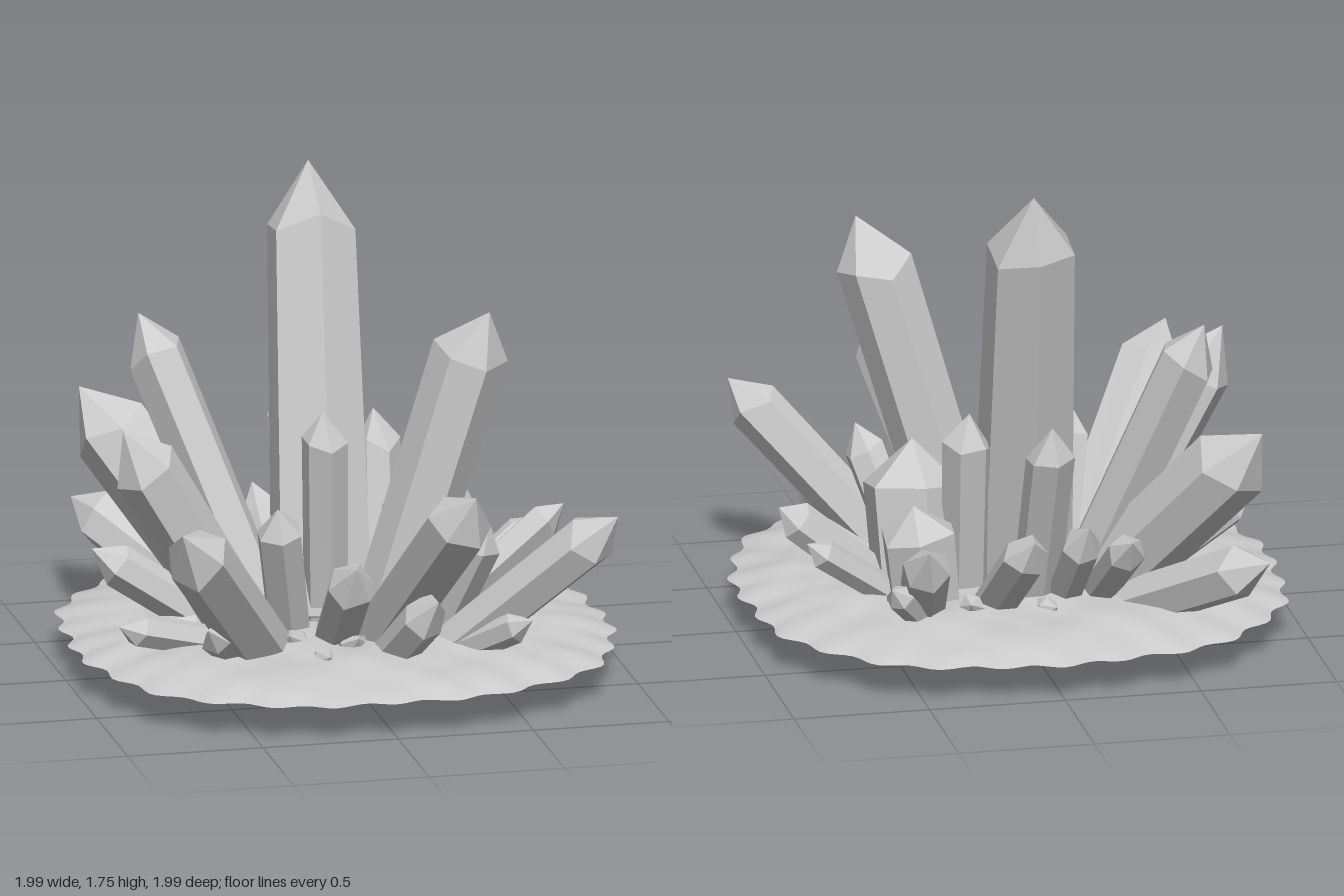
import * as THREE from 'three';

const stone = new THREE.MeshStandardMaterial({ color: 0xcccccc, side: THREE.DoubleSide });
stone.name = 'pale grey stone';

// Small seeded generator for natural variation
let seed = 7;
const rand = () => {
  seed = (seed * 16807) % 2147483647;
  return seed / 2147483647;
};

// Six-sided crystal: the shaft runs from base towards aim, and the tip may sit off that axis
function crystal(name, tip, base, r, { extend = 0.05, flare = 0.95, point = 1.45, aim = tip } = {}) {
  const t = new THREE.Vector3(...tip);
  const b = new THREE.Vector3(...base);
  const dir = new THREE.Vector3(...aim).sub(b).normalize();
  b.addScaledVector(dir, -Math.min(extend / dir.y, 0.14));
  const turn = new THREE.Quaternion().setFromUnitVectors(new THREE.Vector3(0, 1, 0), dir);
  const apex = t.sub(b).applyQuaternion(turn.clone().invert());
  const shoulder = apex.y - Math.min(point * r, apex.y * 0.4);
  const profile = [[0, -0.25 * r], [r * flare, 0], [r, shoulder], [0, apex.y]];
  let geo = new THREE.LatheGeometry(profile.map(p => new THREE.Vector2(...p)), 6);
  geo.rotateY(rand() * Math.PI / 3);
  const pos = geo.attributes.position;
  const drops = Array.from({ length: 6 }, () => (rand() - 0.5) * 0.6 * r);
  const wide = Array.from({ length: 6 }, () => 0.9 + rand() * 0.2);
  for (let i = 0; i < pos.count; i++) {
    const side = Math.floor(i / 4) % 6, row = i % 4;
    if (row === 2) pos.setY(i, shoulder + drops[side]);
    if (row === 1 || row === 2) {
      pos.setX(i, pos.getX(i) * wide[side]);
      pos.setZ(i, pos.getZ(i) * wide[side]);
    }
    if (row === 3) pos.setXYZ(i, apex.x, apex.y, apex.z);
  }
  geo = geo.toNonIndexed();
  geo.computeVertexNormals();
  const mesh = new THREE.Mesh(geo, stone);
  mesh.name = name;
  mesh.position.copy(b);
  mesh.quaternion.copy(turn);
  return mesh;
}

// Thin rock sheet with a scalloped rim and gentle ripples
function rockSheet() {
  const rings = 24, segs = 200, verts = [], index = [];
  for (let i = 0; i <= rings; i++) {
    const f = i / rings;
    for (let j = 0; j < segs; j++) {
      const a = (j / segs) * Math.PI * 2;
      const rim = 1.01 - 0.035 * Math.cos(4 * a) + 0.018 * Math.cos(28 * a) + 0.008 * Math.sin(11 * a);
      const x = rim * f * Math.cos(a), z = rim * f * Math.sin(a);
      const ripple = 0.009 * Math.sin(9 * x + 3 * z) * Math.cos(11 * z - 2 * x) + 0.004 * Math.sin(23 * x) * Math.sin(19 * z);
      const y = 0.13 + 0.062 * (1 - Math.pow(f, 6)) + ripple * (1 - Math.pow(f, 8));
      verts.push(x, y, z);
      if (i < rings) {
        const p = i * segs + j, q = i * segs + (j + 1) % segs;
        if (i > 0) index.push(p, q, p + segs);
        index.push(q, q + segs, p + segs);
      }
    }
  }
  // Reversed order makes the faces look upward
  const geo = new THREE.BufferGeometry();
  geo.setAttribute('position', new THREE.Float32BufferAttribute(verts, 3));
  geo.setIndex(index.reverse());
  geo.computeVertexNormals();
  const mesh = new THREE.Mesh(geo, stone);
  mesh.name = 'rockSheet';
  return mesh;
}

// Each entry: tip, base, radius
const LARGE = [
  [[-0.62, 1.22, -0.49], [-0.25, 0.2, -0.19], 0.115],
  [[-0.83, 0.98, 0.18], [-0.37, 0.2, 0.07], 0.13],
  [[-0.77, 0.78, 0.88], [-0.37, 0.2, 0.33], 0.125],
  [[0.3, 0.87, 0.95], [0.11, 0.2, 0.28], 0.12],
  [[0.87, 0.71, 0.75], [0.4, 0.2, 0.4], 0.105],
  [[-0.09, 1.0, 0.17], [-0.05, 0.2, 0.02], 0.085],
  [[-0.78, 0.88, -0.75], [-0.32, 0.2, -0.25], 0.14],
  [[0.2, 0.87, -0.28], [0.18, 0.2, -0.14], 0.09],
  [[-0.04, 0.9, -0.59], [-0.03, 0.2, -0.32], 0.09],
];
const SMALL = [
  [[-0.78, 0.43, -0.88], [-0.46, 0.2, -0.5], 0.1],
  [[-0.88, 0.46, -0.11], [-0.5, 0.2, -0.12], 0.08],
  [[-0.87, 0.28, 0.3], [-0.6, 0.2, 0.22], 0.06],
  [[-0.17, 0.52, -0.62], [-0.14, 0.2, -0.34], 0.075],
  [[0.06, 0.52, -0.75], [0.12, 0.2, -0.4], 0.085],
  [[-0.3, 0.5, -0.76], [-0.27, 0.2, -0.35], 0.07],
  [[0.44, 0.5, -0.72], [0.4, 0.2, -0.42], 0.085],
  [[0.56, 0.34, -0.63], [0.44, 0.2, -0.5], 0.05],
  [[-0.29, 0.69, 0.32], [-0.2, 0.2, 0.12], 0.085],
  [[0.47, 0.62, 0.43], [0.34, 0.2, 0.22], 0.075],
  [[-0.07, 0.54, 0.64], [-0.06, 0.2, 0.28], 0.09],
  [[0.2, 0.44, 0.78], [0.12, 0.2, 0.5], 0.085],
  [[0.57, 0.32, 0.68], [0.42, 0.2, 0.5], 0.055],
  [[0.72, 0.32, 0.29], [0.52, 0.2, 0.2], 0.065],
  [[-0.6, 0.32, 0.55], [-0.48, 0.2, 0.4], 0.06],
  [[0.87, 0.51, -0.13], [0.5, 0.2, -0.12], 0.07],
  [[0.8, 0.42, -0.29], [0.5, 0.2, -0.2], 0.06],
];

export function createModel() {
  seed = 7;
  const model = new THREE.Group();
  model.name = 'crystalCluster';
  model.add(rockSheet());

  const large = new THREE.Group();
  large.name = 'largeCrystals';
  large.add(crystal('tallestCrystal', [0.01, 1.75, -0.5], [-0.04, 0.2, -0.07], 0.16,
    { extend: 0.03, flare: 1.15, aim: [0, 1.54, -0.415] }));
  large.add(crystal('secondTallCrystal', [0.47, 1.41, 0.42], [0.12, 0.2, 0.25], 0.13,
    { aim: [0.41, 1.22, 0.345] }));
  LARGE.forEach(([t, b, r]) => large.add(crystal('largeCrystal', t, b, r)));
  model.add(large);

  // Two blunt upright crystals, one with a root that reaches the ground
  const stout = new THREE.Group();
  stout.name = 'stoutCrystals';
  stout.add(crystal('stoutCrystal', [0.36, 0.71, -0.04], [0.34, 0.05, -0.12], 0.185,
    { extend: 0, flare: 0.9, point: 1.1 }));
  stout.add(crystal('stoutCrystal', [0.41, 0.54, -0.3], [0.37, 0.2, -0.26], 0.14, { point: 0.8 }));
  model.add(stout);

  const small = new THREE.Group();
  small.name = 'smallCrystals';
  SMALL.forEach(([t, b, r]) => small.add(crystal('smallCrystal', t, b, r, { extend: 0.08 })));
  model.add(small);

  // Low shards around the cluster, poking through the sheet
  const shards = new THREE.Group();
  shards.name = 'shards';
  for (let i = 0; i < 20; i++) {
    const a = i * 2.4, d = 0.22 + 0.25 * rand(), out = d + 0.12 + 0.06 * rand();
    const tip = [Math.cos(a) * out, 0.19 + 0.04 * rand(), Math.sin(a) * out];
    const base = [Math.cos(a + 0.1) * d, 0.11 + 0.03 * rand(), Math.sin(a + 0.1) * d];
    shards.add(crystal('shard', tip, base, 0.04 + 0.015 * rand(), { extend: 0 }));
  }
  model.add(shards);
  return model;
}
